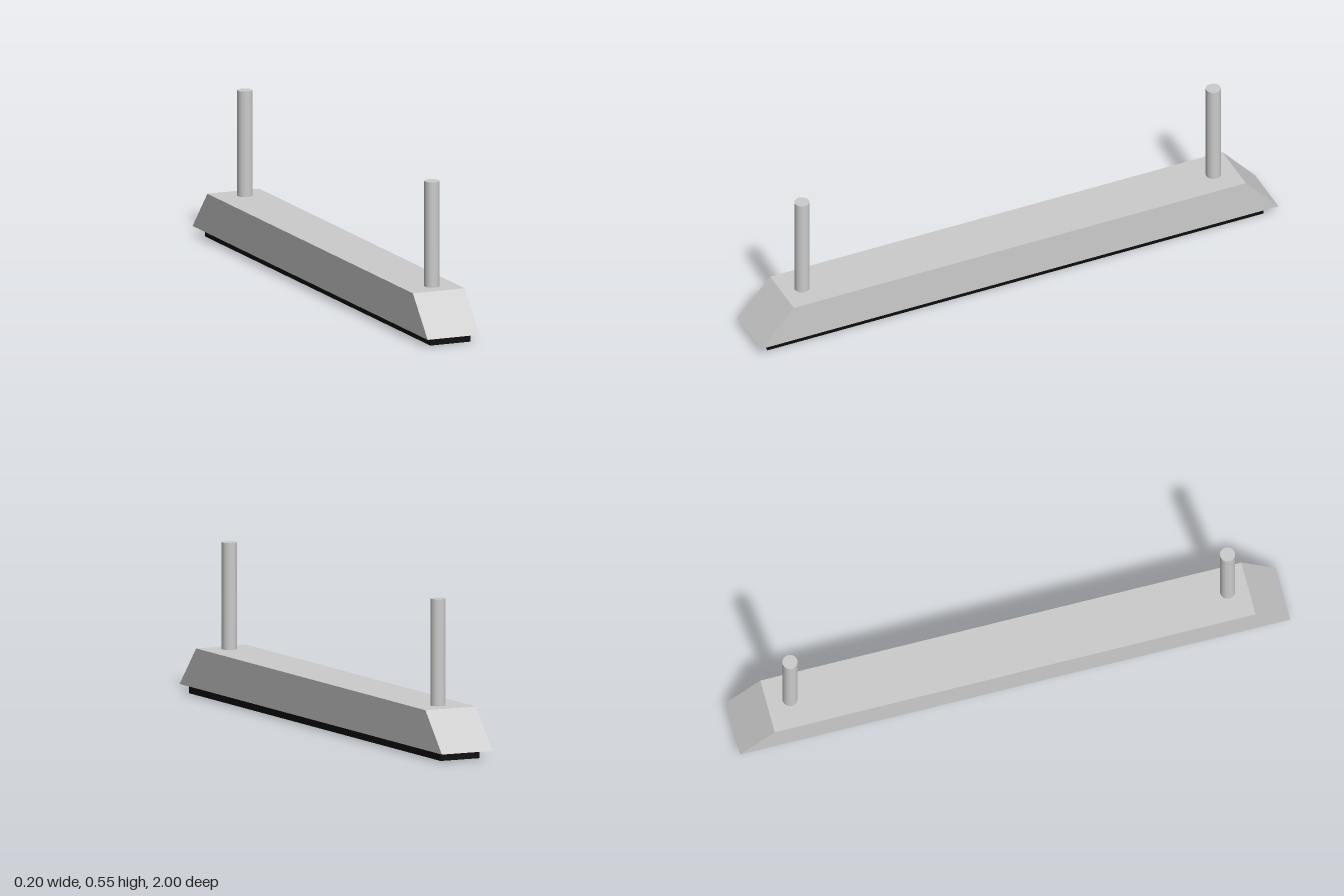
import * as THREE from 'three';

export function createModel() {
  const group = new THREE.Group();
  const grey = new THREE.MeshStandardMaterial({ color: 0xcccccc });
  const black = new THREE.MeshStandardMaterial({ color: 0x0d0d0d });

  const add = (name, geometry, material, x, y, z) => {
    const mesh = new THREE.Mesh(geometry, material);
    mesh.name = name;
    mesh.position.set(x, y, z);
    group.add(mesh);
  };

  // Long bar with sloped ends: side profile (z, y) extruded across the width
  const profile = new THREE.Shape([
    new THREE.Vector2(-1, 0.03),
    new THREE.Vector2(1, 0.03),
    new THREE.Vector2(0.874, 0.172),
    new THREE.Vector2(-0.874, 0.172),
  ]);
  const bar = new THREE.ExtrudeGeometry(profile, { depth: 0.2, bevelEnabled: false });
  bar.translate(0, 0, -0.1).rotateY(-Math.PI / 2);
  add('bar', bar, grey, 0, 0, 0);

  // Dark strip under the bar
  add('baseStrip', new THREE.BoxGeometry(0.154, 0.03, 1.918), black, 0.003, 0.015, 0.007);

  // Upright rods near both ends
  const rod = new THREE.CylinderGeometry(0.027, 0.027, 0.38, 16);
  add('frontRod', rod, grey, 0.007, 0.363, 0.8);
  add('backRod', rod, grey, 0.007, 0.363, -0.791);

  return group;
}
